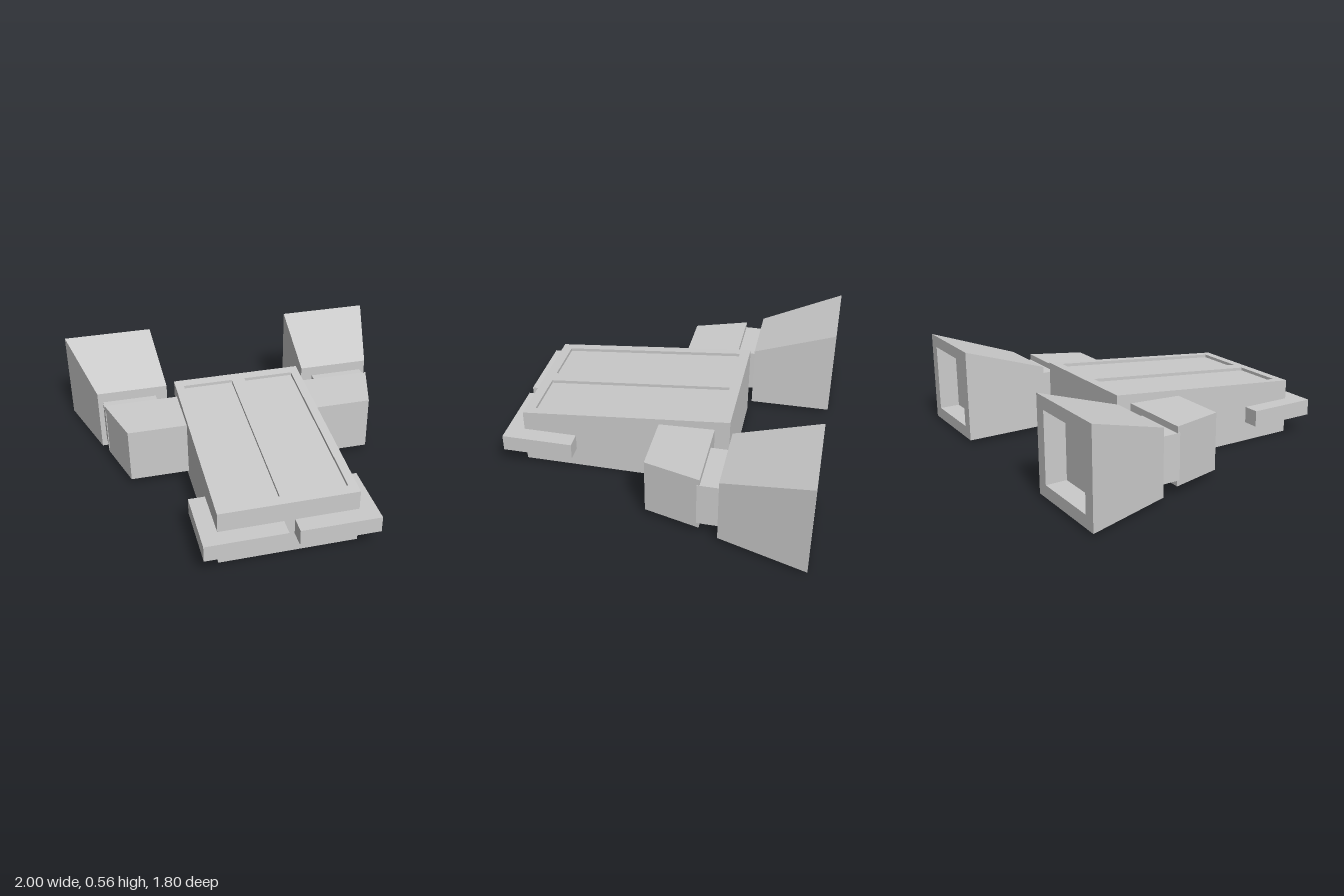
import * as THREE from 'three';

const material = new THREE.MeshStandardMaterial({ color: 0xcccccc, flatShading: true });

function add(parent, name, geometry) {
  const mesh = new THREE.Mesh(geometry, material);
  mesh.name = name;
  parent.add(mesh);
  return mesh;
}

// Closed solid through rectangular sections [x0, x1, y0, y1, z], listed front to rear
function loft(sections) {
  const corners = sections.map(([x0, x1, y0, y1, z]) =>
    [[x0, y0, z], [x1, y0, z], [x1, y1, z], [x0, y1, z]]);
  const pos = [];
  const quad = (a, b, c, d) => pos.push(...a, ...b, ...c, ...a, ...c, ...d);
  quad(...corners[0]);
  for (let s = 0; s < corners.length - 1; s++) {
    const a = corners[s], b = corners[s + 1];
    for (let i = 0; i < 4; i++) {
      const j = (i + 1) % 4;
      quad(a[i], b[i], b[j], a[j]);
    }
  }
  quad(...[...corners[corners.length - 1]].reverse());
  const g = new THREE.BufferGeometry();
  g.setAttribute('position', new THREE.Float32BufferAttribute(pos, 3));
  g.computeVertexNormals();
  return g;
}

// Flip sections to the other side of x = 0
const mirror = (sections, side) => side > 0 ? sections
  : sections.map(([x0, x1, ...rest]) => [-x1, -x0, ...rest]);

const FRONT = 0.8, REAR = -0.4, HALF = 0.39, RECESS = 0.018;
const deckHeight = z => 0.325 + (FRONT - z) * 0.11 / (FRONT - REAR);

function rectangle(path, x0, x1, y0, y1) {
  path.moveTo(x0, y0);
  path.lineTo(x1, y0);
  path.lineTo(x1, y1);
  path.lineTo(x0, y1);
  path.closePath();
  return path;
}

// Sloping top plate with two long panel openings
function deckGeometry() {
  const shape = rectangle(new THREE.Shape(), -HALF, HALF, -FRONT, -REAR);
  for (const x of [-0.34, 0.04]) {
    shape.holes.push(rectangle(new THREE.Path(), x, x + 0.3, -0.74, 0.34));
  }
  const g = new THREE.ExtrudeGeometry(shape, { depth: RECESS, bevelEnabled: false });
  g.rotateX(-Math.PI / 2);
  const p = g.attributes.position;
  for (let i = 0; i < p.count; i++) {
    p.setY(i, p.getY(i) - RECESS + deckHeight(p.getZ(i)));
  }
  g.computeVertexNormals();
  return g;
}

export function createModel() {
  const model = new THREE.Group();
  model.name = 'spacecraft';

  // Wedge-shaped hull, its top forming the floor of the deck panels
  add(model, 'hull', loft([
    [-HALF, HALF, 0, deckHeight(FRONT) - RECESS, FRONT],
    [-HALF, HALF, 0, deckHeight(REAR) - RECESS, REAR],
  ]));
  add(model, 'deckFrame', deckGeometry());

  for (const side of [1, -1]) {
    const label = side > 0 ? 'left' : 'right';

    // Flat block poking out of the nose and the flank
    add(model, label + 'NoseBlock', loft(mirror([
      [0.03, 0.485, 0.115, 0.21, 0.9],
      [0.03, 0.485, 0.115, 0.21, 0.49],
    ], side)));

    const engine = new THREE.Group();
    engine.name = label + 'Engine';
    model.add(engine);

    // Pod that joins the engine to the hull
    add(engine, 'pod', loft(mirror([
      [0.37, 0.735, 0.04, 0.365, 0],
      [0.37, 0.83, 0.052, 0.376, -0.315],
    ], side)));
    add(engine, 'neck', loft(mirror([
      [0.505, 0.83, 0.083, 0.34, -0.3],
      [0.505, 0.83, 0.083, 0.34, -0.43],
    ], side)));

    // Flared nozzle with a square recess in its rear face
    add(engine, 'nozzle', loft(mirror([
      [0.435, 0.86, 0.027, 0.4, -0.42],
      [0.455, 1, 0.017, 0.555, -0.905],
      [0.525, 0.93, 0.087, 0.485, -0.905],
      [0.525, 0.93, 0.087, 0.485, -0.785],
    ], side)));
  }
  return model;
}
